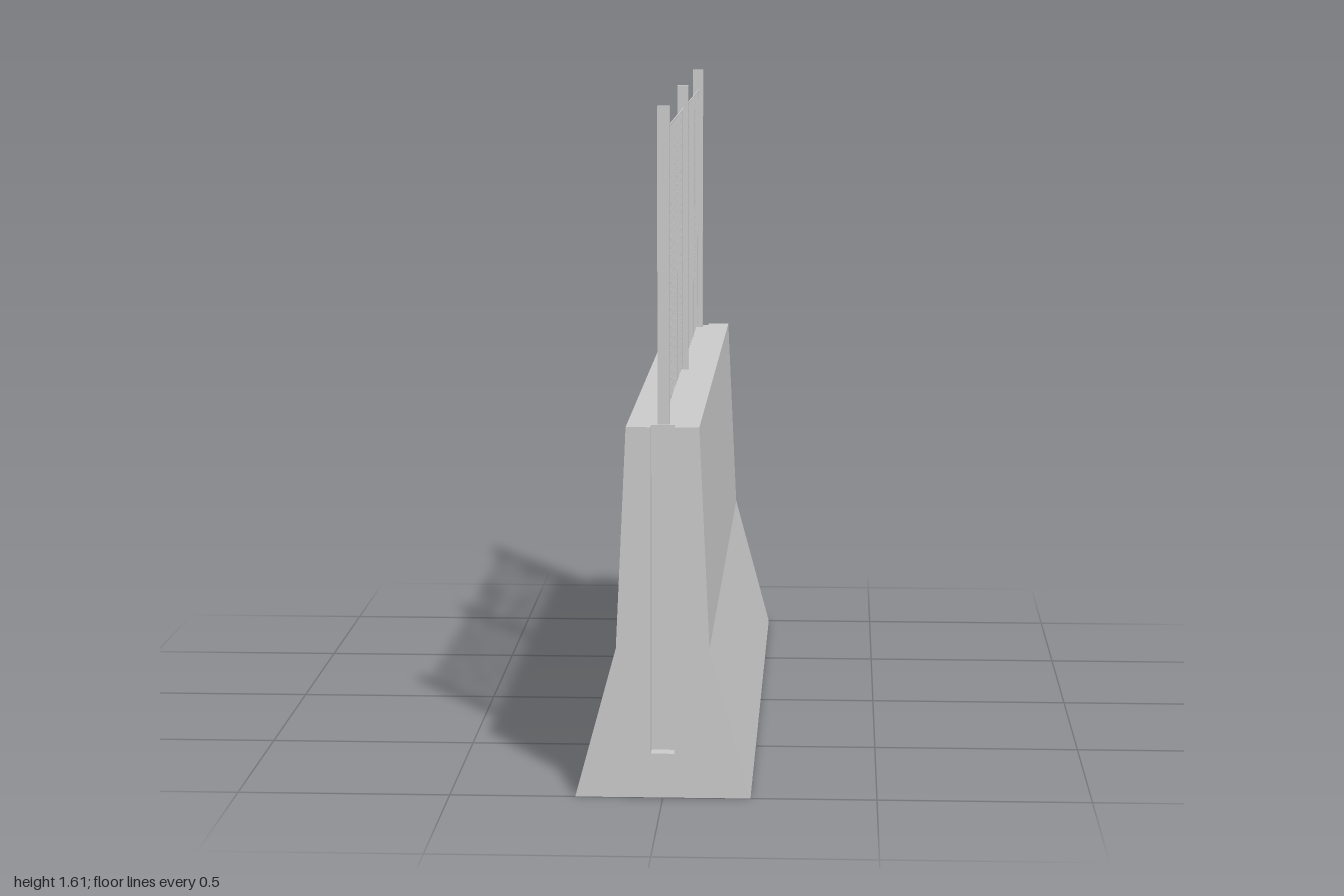
import * as THREE from 'three';

const grey = new THREE.MeshStandardMaterial({ color: 0xcccccc, flatShading: true });

export function createModel() {
  const model = new THREE.Group();

  const add = (name, geometry, x = 0, y = 0, z = 0, parent = model) => {
    const mesh = new THREE.Mesh(geometry, grey);
    mesh.name = name;
    mesh.position.set(x, y, z);
    parent.add(mesh);
    return mesh;
  };
  const extrude = (points, depth) => new THREE.ExtrudeGeometry(
    new THREE.Shape(points.map(([x, y]) => new THREE.Vector2(x, y))),
    { depth, bevelEnabled: false });

  // Concrete barrier: solid core with a slotted section at each end
  const top = 0.875, slotHalf = 0.028, slotBottom = 0.105, slotDepth = 0.038;
  const right = [[0.205, 0], [0.109, 0.355], [0.085, top]];
  const left = right.map(([x, y]) => [-x, y]).reverse();
  const notch = [[slotHalf, top], [slotHalf, slotBottom], [-slotHalf, slotBottom], [-slotHalf, top]];
  const core = 1 - slotDepth;
  add('barrierCore', extrude([...right, ...left], 2 * core), 0, 0, -core);
  const slotted = extrude([...right, ...notch, ...left], slotDepth);
  add('frontSlottedEnd', slotted, 0, 0, core);
  add('backSlottedEnd', slotted, 0, 0, -1);

  // Row of slanted marks lying flush on one lower slope
  const slope = Math.hypot(0.096, 0.355);
  const mark = new THREE.ShapeGeometry(new THREE.Shape([
    new THREE.Vector2(0, 0.21 * slope), new THREE.Vector2(0.07, 0.21 * slope),
    new THREE.Vector2(0.14, 0.92 * slope), new THREE.Vector2(0.07, 0.92 * slope),
  ]));
  const basis = new THREE.Matrix4().makeBasis(
    new THREE.Vector3(0, 0, 1),
    new THREE.Vector3(0.096, 0.355, 0).divideScalar(slope),
    new THREE.Vector3(-0.355, 0.096, 0).divideScalar(slope));
  mark.applyMatrix4(basis);
  const marks = new THREE.Group();
  marks.name = 'slopeMarks';
  model.add(marks);
  for (let i = 0; i < 12; i++) add('slopeMark', mark, -0.206, 0, -0.958 + i * 0.1617, marks);

  // Fence posts
  const postTop = 1.61, postZ = [-0.93, -0.01, 0.94];
  const post = new THREE.BoxGeometry(0.028, postTop - top, 0.028);
  for (const z of postZ) add('fencePost', post, 0, (postTop + top) / 2, z);

  // Wire mesh panels between the posts
  const wire = 0.003, low = 0.902, high = 1.553, rows = 32, columns = 15;
  const upright = new THREE.BoxGeometry(wire, high - low, wire);
  for (let p = 0; p < 2; p++) {
    const panel = new THREE.Group();
    panel.name = 'meshPanel';
    model.add(panel);
    const z0 = postZ[p], span = postZ[p + 1] - z0;
    const rail = new THREE.BoxGeometry(wire, wire, span - 0.028);
    for (let i = 0; i < rows; i++)
      add('horizontalWire', rail, 0.003, low + (high - low) * i / (rows - 1), z0 + span / 2, panel);
    for (let i = 1; i <= columns; i++)
      add('verticalWire', upright, 0.005, (low + high) / 2, z0 + span * i / (columns + 1), panel);
  }
  return model;
}
